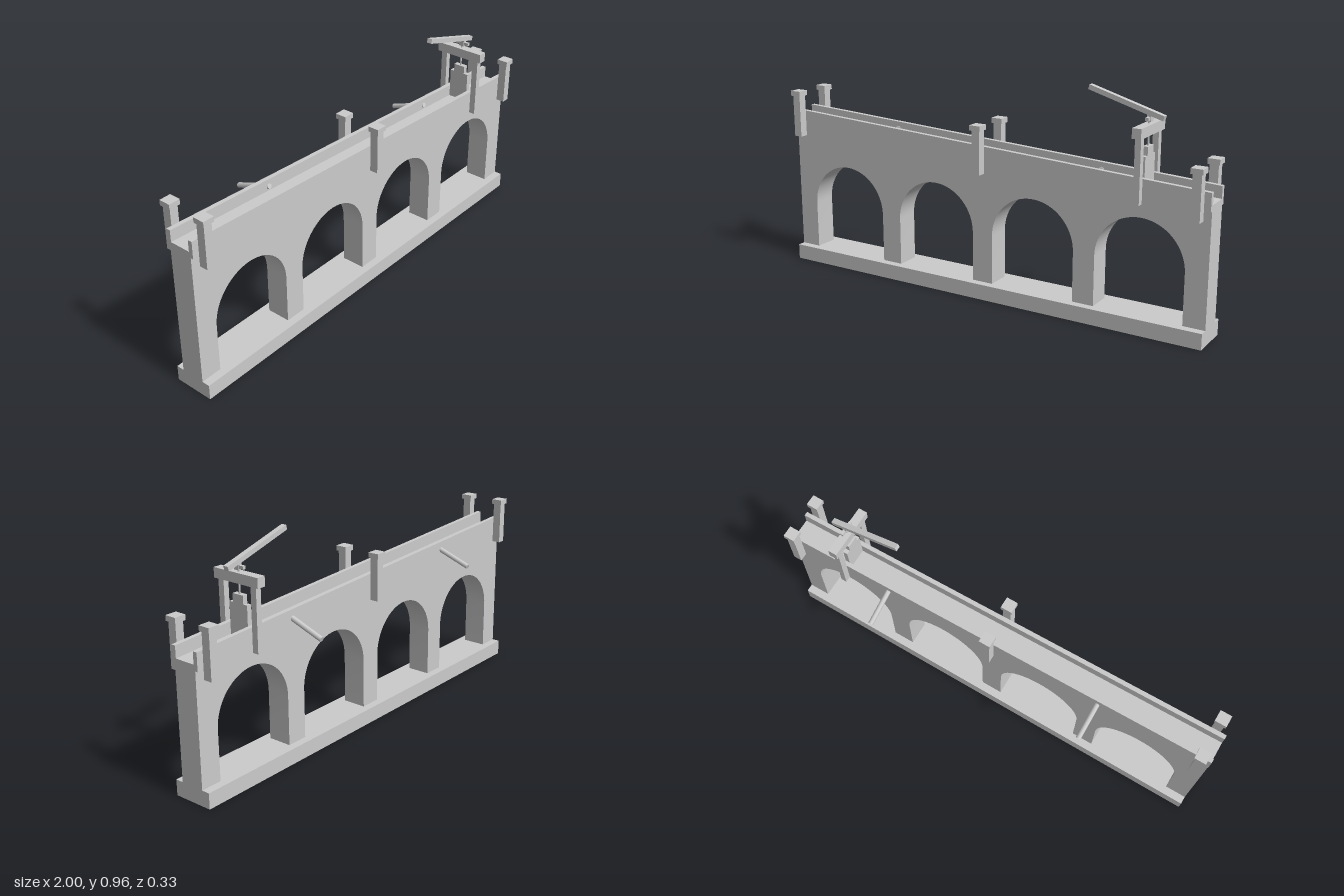
import * as THREE from 'three';
import { toCreasedNormals } from 'three/addons/utils/BufferGeometryUtils.js';

const ZC = 0.0525; // centre line of the wall
const SLOPE = -0.05; // fall of the channel along x

export function createModel() {
  const model = new THREE.Group();
  const solid = new THREE.MeshStandardMaterial({ color: 0xcccccc });
  const open = new THREE.MeshStandardMaterial({ color: 0xcccccc, side: THREE.DoubleSide });

  const add = (name, geometry, material = solid, parent = model) => {
    const mesh = new THREE.Mesh(geometry, material);
    mesh.name = name;
    parent.add(mesh);
    return mesh;
  };

  // Box given by its width, depth and bottom/top heights
  const box = (name, x, z, y0, y1, w, d, parent = model) => {
    const mesh = add(name, new THREE.BoxGeometry(w, y1 - y0, d), solid, parent);
    mesh.position.set(x, (y0 + y1) / 2, z);
    return mesh;
  };

  // Same box, hollow below
  const openBox = (...args) => {
    const mesh = box(...args);
    const index = Array.from(mesh.geometry.index.array);
    index.splice(18, 6);
    mesh.geometry.setIndex(index);
    mesh.geometry.clearGroups();
    mesh.material = open;
    return mesh;
  };

  // Footing
  openBox('footing', 0, ZC, 0, 0.067, 2, 0.175);

  // Arcaded wall with a sloping top
  const foot = 0.067, spring = 0.28, radius = 0.191;
  const wall = new THREE.Shape();
  wall.moveTo(-1, foot);
  for (let i = 0; i < 4; i++) {
    const cx = (i - 1.5) * 0.477;
    wall.lineTo(cx - radius, foot);
    wall.lineTo(cx - radius, spring);
    wall.absarc(cx, spring, radius, Math.PI, 0, true);
    wall.lineTo(cx + radius, foot);
  }
  wall.lineTo(1, foot);
  wall.lineTo(1, 0.54);
  wall.lineTo(-1, 0.64);
  wall.closePath();
  const wallGeometry = new THREE.ExtrudeGeometry(wall, {
    depth: 0.105, bevelEnabled: false, curveSegments: 16,
  });
  add('arcadeWall', toCreasedNormals(wallGeometry, 0.5));

  // U-shaped channel, sheared to follow the slope
  const section = new THREE.Shape([
    [-0.065, 0.59], [0.065, 0.59], [0.065, 0.665], [0.046, 0.665],
    [0.046, 0.615], [-0.046, 0.615], [-0.046, 0.665], [-0.065, 0.665],
  ].map(([z, y]) => new THREE.Vector2(z, y)));
  const channel = new THREE.ExtrudeGeometry(section, { depth: 2, bevelEnabled: false });
  channel.translate(0, 0, -1).rotateY(Math.PI / 2).translate(0, 0, ZC);
  const p = channel.attributes.position;
  for (let i = 0; i < p.count; i++) p.setY(i, p.getY(i) + SLOPE * p.getX(i));
  channel.computeVertexNormals();
  add('channel', channel);

  // Capped posts on both sides
  for (const x of [-0.955, 0, 0.955]) {
    for (const side of [-1, 1]) {
      const post = new THREE.Group();
      post.name = 'post';
      post.position.set(x, SLOPE * x, ZC + side * 0.086);
      openBox('postShaft', 0, 0, 0.55, 0.736, 0.037, 0.037, post);
      box('postCap', 0, 0, 0.736, 0.758, 0.05, 0.05, post);
      model.add(post);
    }
  }

  // Outlet pipes sloping down from the back of the channel
  for (const x of [-0.5, 0.5]) {
    const pipe = add('outletPipe', new THREE.CylinderGeometry(0.011, 0.011, 0.18, 10));
    pipe.position.set(x, 0.604 + (x < 0 ? 0.05 : 0) - 0.002, -0.074);
    pipe.position.y = 0.605 + SLOPE * x;
    pipe.rotation.x = Math.PI / 2 - 0.35;
  }

  // Sluice: frame, gate, lifting rod and lever
  const sluice = new THREE.Group();
  sluice.name = 'sluice';
  sluice.position.set(0.714, 0, ZC);
  model.add(sluice);
  for (const side of [-1, 1]) {
    openBox('framePost', 0, side * 0.083, 0.53, 0.795, 0.025, 0.027, sluice);
  }
  box('frameBeam', 0, 0, 0.79, 0.831, 0.038, 0.225, sluice);
  box('gate', 0, 0, 0.577, 0.71, 0.02, 0.091, sluice);
  box('gateLug', 0, 0, 0.71, 0.745, 0.022, 0.053, sluice);
  const rod = add('liftingRod', new THREE.CylinderGeometry(0.004, 0.004, 0.115, 8), solid, sluice);
  rod.position.y = 0.7925;
  box('pivotBlock', 0.004, 0, 0.839, 0.866, 0.016, 0.024, sluice);
  box('pivotAxle', 0.004, 0, 0.845, 0.858, 0.013, 0.066, sluice);
  const lever = box('lever', -0.094, 0, 0.892, 0.912, 0.328, 0.023, sluice);
  lever.rotation.z = -0.284;

  return model;
}
